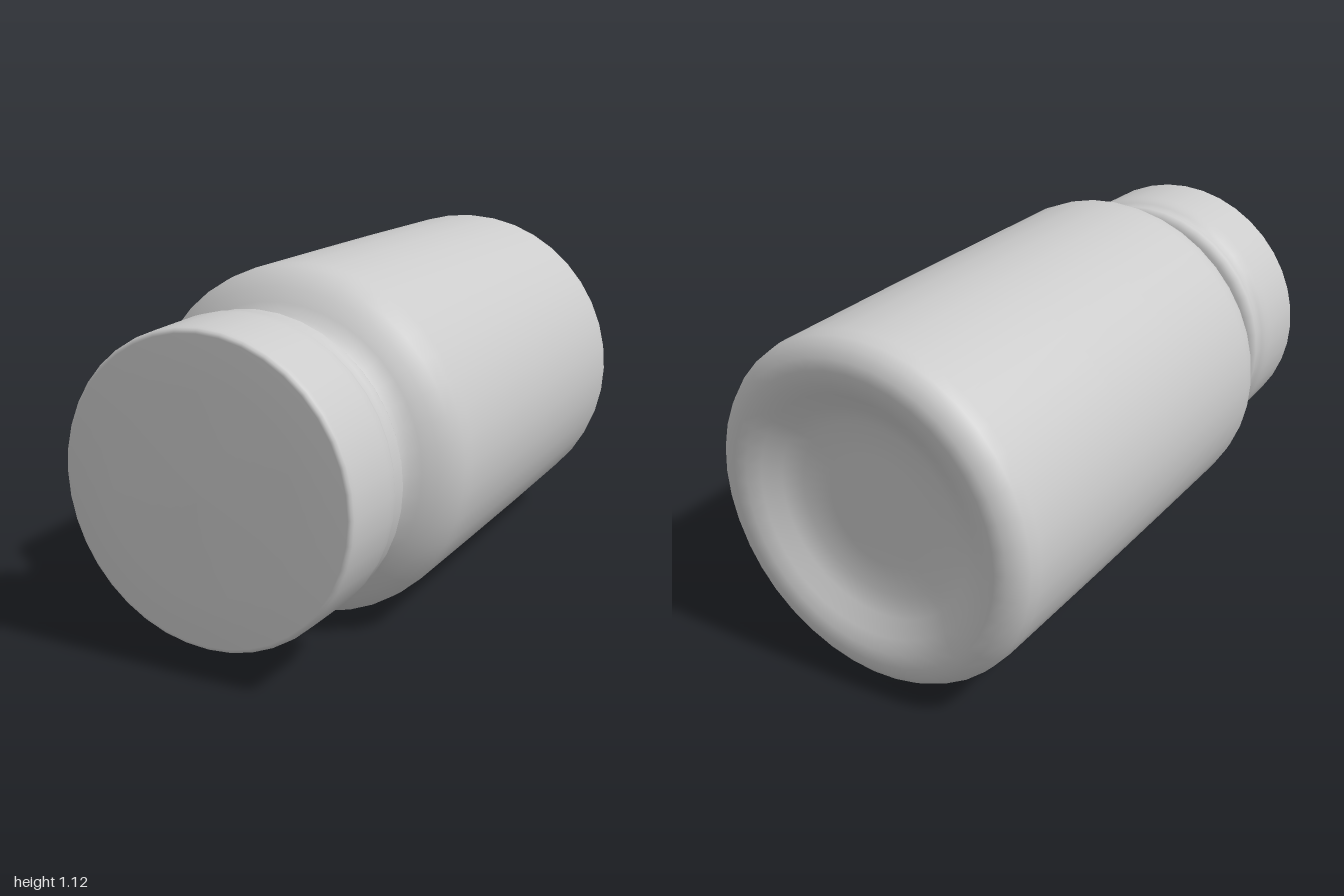
import * as THREE from 'three';

const SEGMENTS = 40;
const AXIS_HEIGHT = 0.563;

// Smooth revolved part lying along z; profile is [radius, z] from back to front.
function turned(name, profile) {
  const points = profile.map(([r, z]) => new THREE.Vector2(r, z));
  const geometry = new THREE.LatheGeometry(points, SEGMENTS);
  geometry.rotateX(Math.PI / 2);
  const mesh = new THREE.Mesh(geometry, new THREE.MeshStandardMaterial({ color: 0xcccccc }));
  mesh.name = name;
  return mesh;
}

export function createModel() {
  const bottle = new THREE.Group();
  bottle.name = 'bottle';

  // Container: hollowed base, rounded foot, straight wall, shoulder and neck
  bottle.add(turned('container', [
    [0, -0.9], [0.18, -0.9], [0.28, -0.908], [0.34, -0.935], [0.39, -0.97],
    [0.43, -0.99], [0.47, -0.998], [0.505, -0.99], [0.535, -0.968], [0.552, -0.94],
    [0.558, -0.9], [0.561, -0.4], [0.561, 0], [0.56, 0.4], [0.555, 0.44],
    [0.537, 0.48], [0.505, 0.52], [0.465, 0.55], [0.435, 0.572], [0.42, 0.6],
    [0.417, 0.63], [0.42, 0.67],
  ]));

  // Cap: lower bead, narrow groove, skirt and flat lid
  bottle.add(turned('cap', [
    [0.415, 0.652], [0.44, 0.655], [0.458, 0.665], [0.466, 0.68], [0.463, 0.7],
    [0.457, 0.715], [0.465, 0.732], [0.474, 0.75], [0.475, 0.78], [0.473, 0.88],
    [0.471, 0.97], [0.469, 0.984], [0.464, 0.992], [0.455, 0.995], [0.3, 0.998], [0, 1],
  ]));

  bottle.position.y = AXIS_HEIGHT;
  const model = new THREE.Group();
  model.add(bottle);
  return model;
}
